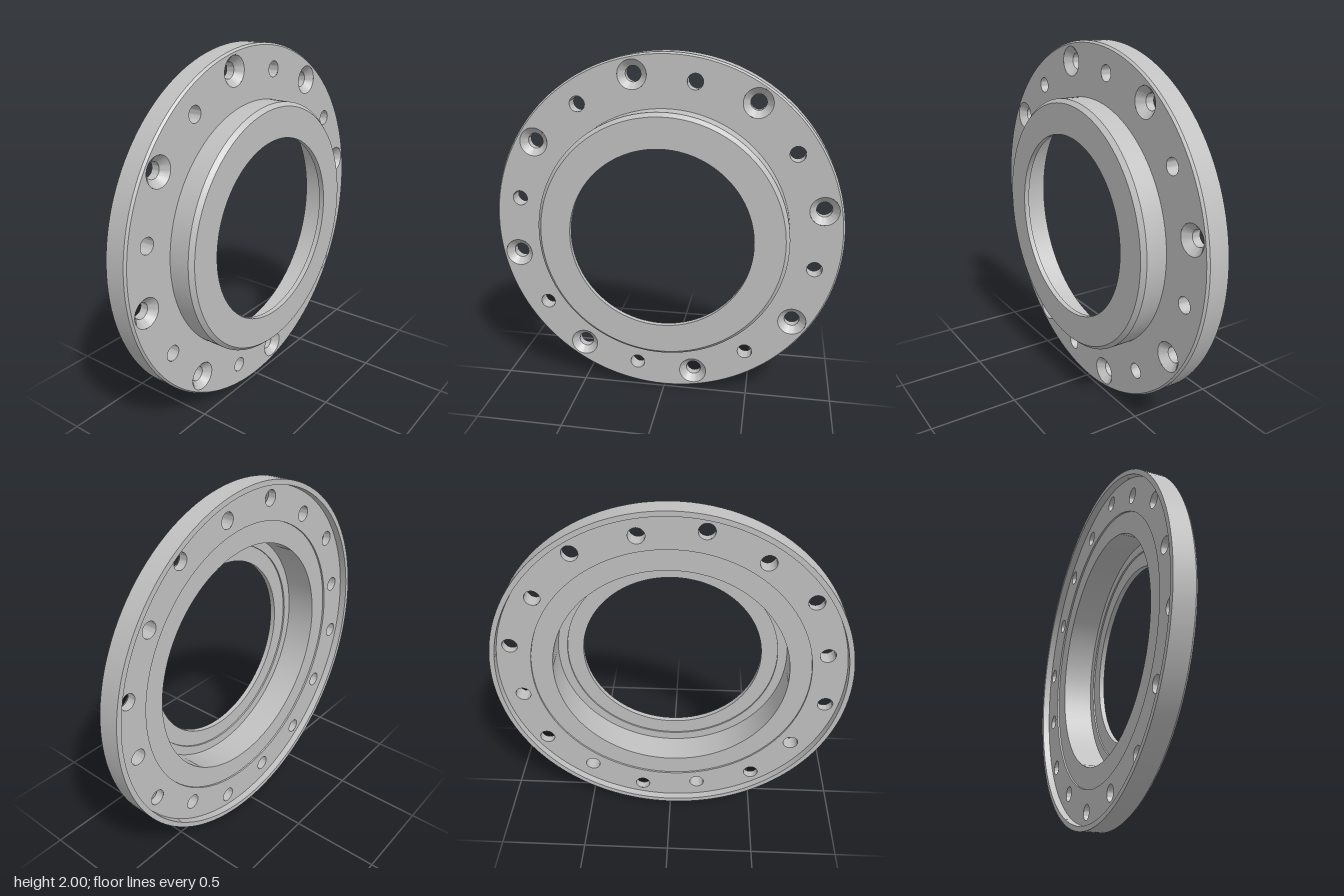
import * as THREE from 'three';
import { toCreasedNormals } from 'three/addons/utils/BufferGeometryUtils.js';

const SEG = 128;
const FRONT = -0.0075;  // front face of the flange
const BACK = -0.0925;   // recessed back face of the flange
const HOLE_R = 0.043;
const SINK_R = 0.08;

export function createModel() {
  const model = new THREE.Group();
  const steel = new THREE.MeshStandardMaterial({ color: 0xc0c0c0 });
  steel.name = 'steel grey';

  const add = (name, geometry, x = 0, y = 0) => {
    const mesh = new THREE.Mesh(geometry, steel);
    mesh.name = name;
    mesh.position.set(x, y + 1, 0);
    model.add(mesh);
  };

  // Turned surface about the z axis from [radius, z] points
  const turned = (points, segments = SEG) => {
    const g = new THREE.LatheGeometry(points.map(p => new THREE.Vector2(...p)), segments);
    g.rotateX(Math.PI / 2);
    return toCreasedNormals(g, 0.45);
  };

  // Two bolt circles of eight holes each
  const circle = (radius, startDeg) => Array.from({ length: 8 }, (_, i) => {
    const a = THREE.MathUtils.degToRad(startDeg + i * 45);
    return [radius * Math.cos(a), radius * Math.sin(a)];
  });
  const sunk = circle(0.898, 11.3);
  const plain = circle(0.866, 34);

  // Flat ring pierced by the bolt holes
  const ring = (outer, inner, sunkRadius) => {
    const shape = new THREE.Shape().absarc(0, 0, outer, 0, Math.PI * 2);
    const cut = (x, y, r) => shape.holes.push(new THREE.Path().absarc(x, y, r, 0, Math.PI * 2, true));
    cut(0, 0, inner);
    sunk.forEach(([x, y]) => cut(x, y, sunkRadius));
    plain.forEach(([x, y]) => cut(x, y, HOLE_R));
    return new THREE.ShapeGeometry(shape, SEG / 2);
  };

  // Flange faces
  add('flangeFront', ring(0.99, 0.705, SINK_R).translate(0, 0, FRONT));
  add('flangeBack', ring(0.97, 0.78, HOLE_R).rotateY(Math.PI).scale(1, 1, 1).translate(0, 0, BACK));
  // The back ring is flipped, so mirror its holes back into line
  const back = model.children[model.children.length - 1].geometry;
  back.scale(-1, 1, 1);
  const index = back.index.array;
  for (let i = 0; i < index.length; i += 3) [index[i], index[i + 1]] = [index[i + 1], index[i]];

  // Outer rim with the thin lip at the back and chamfer at the front
  add('flangeRim', turned([
    [0.97, BACK], [0.972, -0.1325], [1, -0.1325], [1, -0.0195], [0.99, FRONT],
  ]));

  // Raised hub, centre opening, stepped bore and shallow back recess
  add('hub', turned([
    [0.705, FRONT], [0.705, 0.11], [0.684, 0.1325], [0.515, 0.1325],
    [0.515, 0.102], [0.607, 0.102], [0.607, 0.093], [0.66, 0.093],
    [0.66, -0.0825], [0.78, -0.0825], [0.78, BACK],
  ]));

  // Hole walls
  sunk.forEach(([x, y]) => add('countersunkHole',
    turned([[SINK_R, FRONT], [HOLE_R, -0.046], [HOLE_R, BACK]], SEG / 2), x, y));
  plain.forEach(([x, y]) => add('plainHole',
    turned([[HOLE_R, FRONT], [HOLE_R, BACK]], SEG / 2), x, y));

  return model;
}
